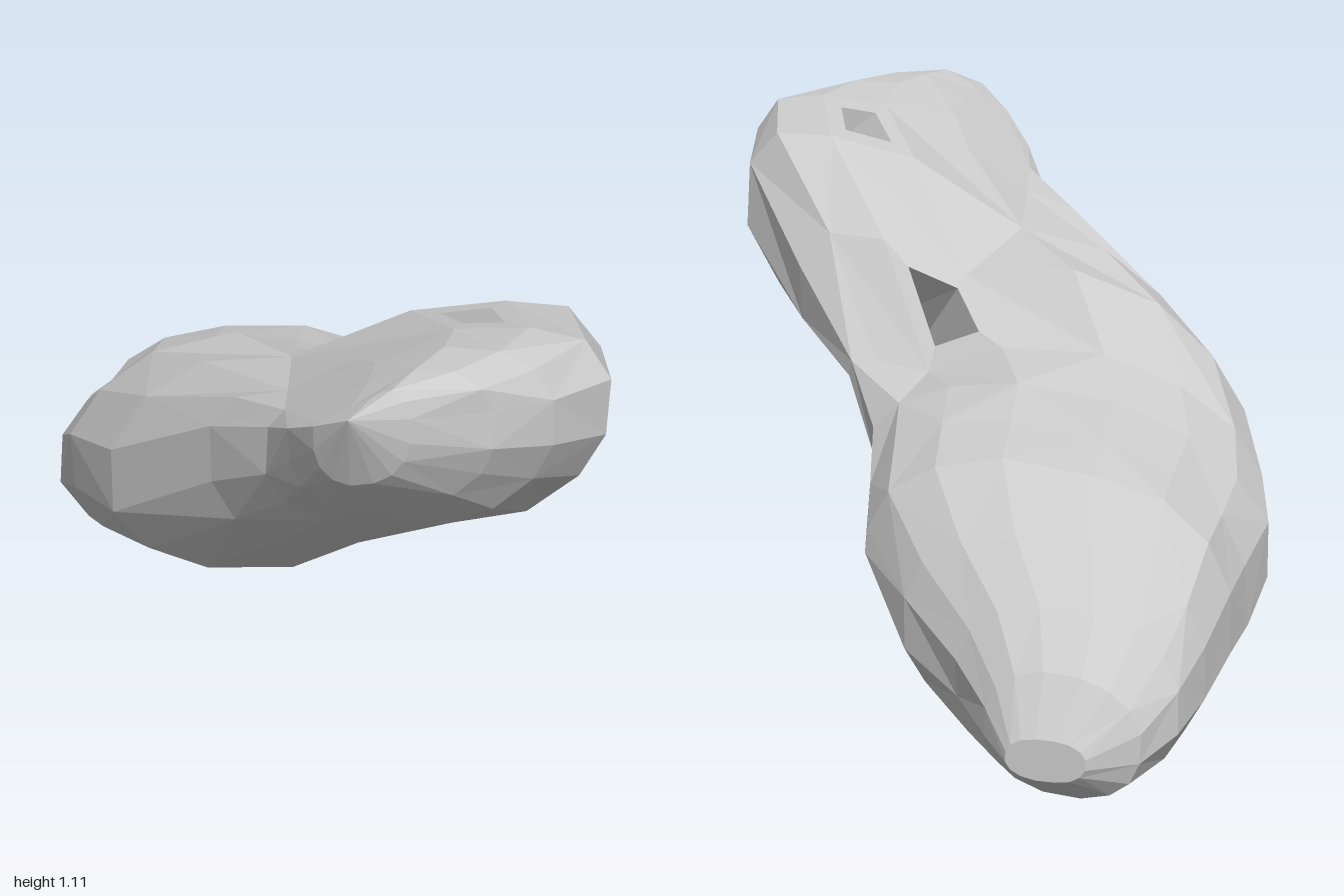
import * as THREE from 'three';

const SIDES = 16;

// Cross-sections along z: [z, centre x, centre y, half width, half height, rise towards +x]
const SECTIONS = [
  [-1.0, -0.465, 0.11, 0.085, 0.045, 0.0],
  [-0.93, -0.48, 0.14, 0.165, 0.13, 0.01],
  [-0.82, -0.455, 0.185, 0.24, 0.185, 0.01],
  [-0.69, -0.39, 0.235, 0.33, 0.235, 0.02],
  [-0.52, -0.325, 0.295, 0.41, 0.28, 0.03],
  [-0.37, -0.3, 0.325, 0.43, 0.285, 0.05],
  [-0.2, -0.275, 0.39, 0.455, 0.265, 0.07],
  [-0.04, -0.195, 0.475, 0.49, 0.255, 0.09],
  [0.13, -0.065, 0.595, 0.535, 0.315, 0.13],
  [0.32, 0.12, 0.715, 0.55, 0.36, 0.19],
  [0.55, 0.3, 0.84, 0.43, 0.275, 0.11],
  [0.7, 0.345, 0.9, 0.305, 0.215, 0.07],
  [0.82, 0.34, 0.95, 0.215, 0.165, 0.04],
  [0.93, 0.31, 1.0, 0.1, 0.11, 0.02],
];

// Tunnels join one cell [row, side] of the skin to another
const TUNNELS = [
  { from: [7, 2], to: [8, 12], size: 0.6 },
  { from: [9, 2], to: [9, 14], size: 0.55 },
];

// Hollows around the upper tunnel mouths: [x, z, depth, radius]
const DENTS = [
  [0.09, 0.04, 0.15, 0.18],
  [0.4, 0.42, 0.07, 0.14],
];

// Small seeded offset for the uneven surface
function makeJitter(seed, amount) {
  return () => {
    seed = (seed * 16807) % 2147483647;
    return (seed / 2147483647 - 0.5) * 2 * amount;
  };
}

const rounded = (v) => Math.sign(v) * Math.abs(v) ** 0.87;

function makeRings() {
  const jitter = makeJitter(71, 0.014);
  return SECTIONS.map(([z0, cx, cy, a, h, rise]) => {
    const b = Math.sqrt(h * h - rise * rise);
    return Array.from({ length: SIDES }, (_, j) => {
      const t = ((j + 0.5) / SIDES) * Math.PI * 2;
      const c = rounded(Math.cos(t));
      const s = rounded(Math.sin(t));
      const x = cx + a * c * (1 + jitter());
      const z = z0 + (Math.abs(z0) < 0.9 ? jitter() : 0);
      let y = cy + rise * c + b * s * (1 + jitter());
      // hollow the underside and the upper shoulder where the body bends
      y = Math.max(y, Math.min(1.16 * x + 0.25, 0.54 + 0.26 * x));
      y = Math.min(y, 1.11, Math.max(0.885 + 0.23 * x, 0.87 + 0.65 * x));
      if (s > 0.3) {
        for (const [dx, dz, depth, radius] of DENTS) {
          y -= depth * Math.exp(-((x - dx) ** 2 + (z - dz) ** 2) / radius ** 2);
        }
      }
      return new THREE.Vector3(x, y, z);
    });
  });
}

function createSkin() {
  const rings = makeRings();
  const positions = [];
  const tri = (...points) => points.forEach((p) => positions.push(p.x, p.y, p.z));
  const quad = (a, b, c, d, flip) => {
    if (flip) { tri(a, b, d); tri(b, c, d); }
    else { tri(a, b, c); tri(a, c, d); }
  };
  const bridge = (outer, inner) => {
    for (let k = 0; k < 4; k++) {
      const n = (k + 1) % 4;
      quad(outer[k], outer[n], inner[n], inner[k]);
    }
  };
  const cell = (i, j) => {
    const n = (j + 1) % SIDES;
    return [rings[i][j], rings[i][n], rings[i + 1][n], rings[i + 1][j]];
  };
  const opening = (corners, size) => {
    const centre = new THREE.Vector3();
    corners.forEach((p) => centre.addScaledVector(p, 0.25));
    return corners.map((p) => centre.clone().lerp(p, size));
  };

  // Outer skin, leaving out the tunnel mouths
  const mouths = new Set(TUNNELS.flatMap((t) => [t.from.join(), t.to.join()]));
  for (let i = 0; i < rings.length - 1; i++) {
    for (let j = 0; j < SIDES; j++) {
      if (!mouths.has([i, j].join())) quad(...cell(i, j), (i + j) % 2 === 0);
    }
  }

  // Rounded ends
  const backTip = new THREE.Vector3(-0.465, 0.11, -1);
  const frontTip = new THREE.Vector3(0.3, 1.06, 1);
  const last = rings[rings.length - 1];
  for (let j = 0; j < SIDES; j++) {
    const n = (j + 1) % SIDES;
    tri(backTip, rings[0][n], rings[0][j]);
    tri(frontTip, last[j], last[n]);
  }

  // Tunnel mouths and walls
  for (const { from, to, size } of TUNNELS) {
    const start = cell(...from);
    const end = cell(...to);
    const startMouth = opening(start, size);
    const endMouth = opening(end, size);
    bridge(start, startMouth);
    bridge(end, endMouth);
    const [a, b, c, d] = endMouth;
    bridge(startMouth, [b, a, d, c]);
  }

  const geometry = new THREE.BufferGeometry();
  geometry.setAttribute('position', new THREE.Float32BufferAttribute(positions, 3));
  geometry.computeVertexNormals();
  return geometry;
}

export function createModel() {
  const group = new THREE.Group();
  group.name = 'asteroid';
  const material = new THREE.MeshStandardMaterial({ color: 0xcccccc, flatShading: true });
  const rock = new THREE.Mesh(createSkin(), material);
  rock.name = 'rockBody';

  // Rest the rock on the ground and centre it
  const box = new THREE.Box3().setFromObject(rock);
  const centre = box.getCenter(new THREE.Vector3());
  rock.position.set(-centre.x, -box.min.y, -centre.z);
  group.add(rock);
  return group;
}
